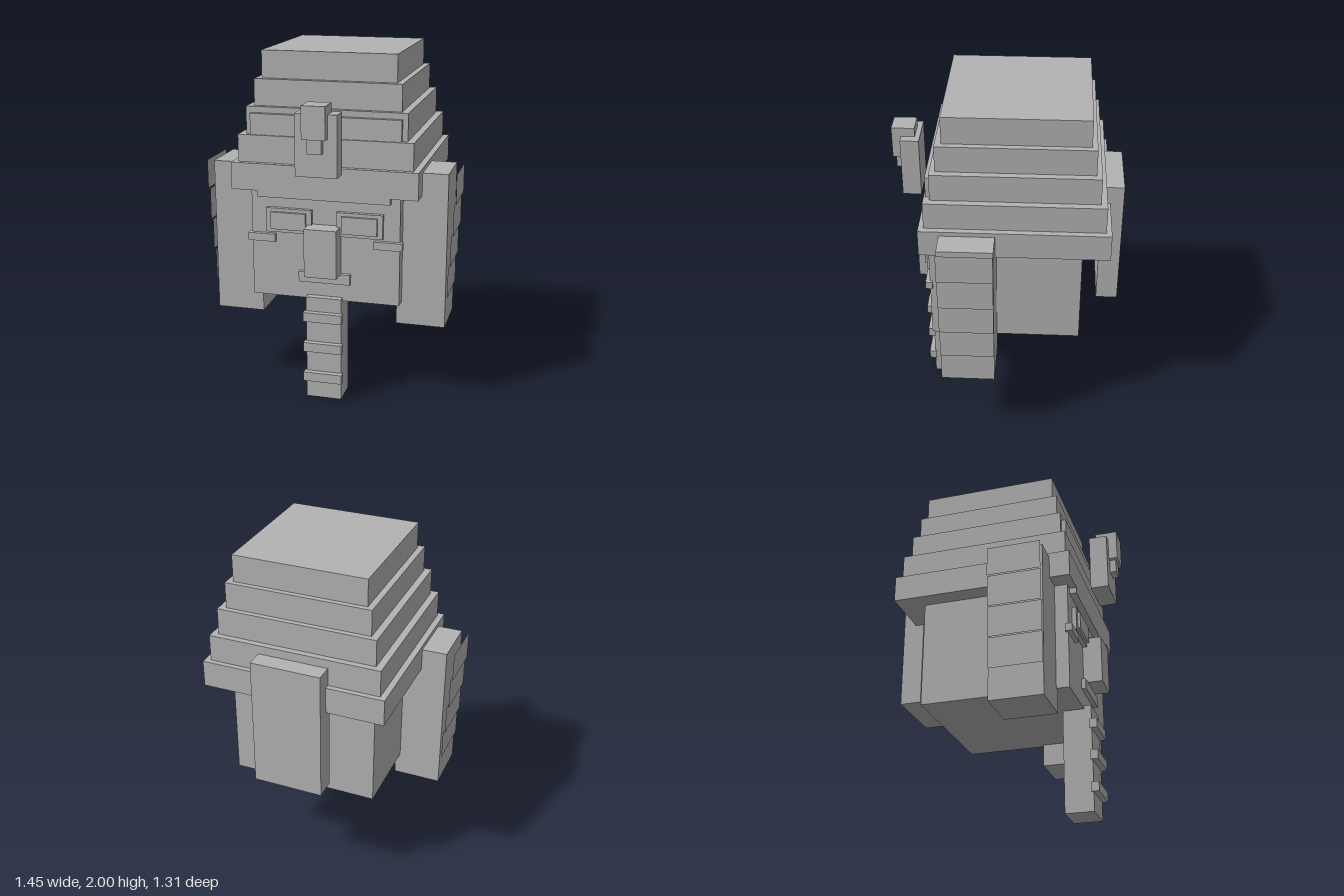
import * as THREE from 'three';

export function createModel() {
  const model = new THREE.Group();
  model.name = 'crownedMask';
  const stone = new THREE.MeshStandardMaterial({ color: 0xb2b2b2, side: THREE.DoubleSide });
  stone.name = 'grey stone';

  // Box from its limits on each axis
  function box(name, x0, x1, y0, y1, z0, z1) {
    const mesh = new THREE.Mesh(new THREE.BoxGeometry(x1 - x0, y1 - y0, z1 - z0), stone);
    mesh.position.set((x0 + x1) / 2, (y0 + y1) / 2, (z0 + z1) / 2);
    mesh.name = name;
    model.add(mesh);
  }
  const centred = (name, half, ...limits) => box(name, -half, half, ...limits);
  function pair(name, x0, x1, ...limits) {
    box(name + 'Left', x0, x1, ...limits);
    box(name + 'Right', -x1, -x0, ...limits);
  }

  // Head and stepped headdress
  centred('head', 0.43, 0.6, 1.66, -0.43, 0.43);
  const tiers = [
    [0.535, 1.23, 1.385, -0.58, 0.47],
    [0.5, 1.385, 1.54, -0.55, 0.44],
    [0.46, 1.54, 1.695, -0.515, 0.405],
    [0.42, 1.695, 1.845, -0.485, 0.375],
    [0.385, 1.845, 2.0, -0.455, 0.34],
  ];
  tiers.forEach((t, i) => centred('headdressTier' + (i + 1), ...t));
  centred('browBand', 0.38, 1.195, 1.23, 0.4, 0.47);

  // Face
  pair('eyeFrame', 0.072, 0.337, 0.99, 1.13, 0.4, 0.455);
  pair('eye', 0.103, 0.307, 1.01, 1.11, 0.42, 0.47);
  pair('eyeTail', 0.287, 0.447, 0.93, 0.975, 0.415, 0.455);
  centred('nose', 0.093, 0.765, 1.045, 0.4, 0.54);
  centred('mouth', 0.15, 0.705, 0.765, 0.4, 0.455);

  // Beard with three bands
  centred('beard', 0.103, 0, 0.62, 0.305, 0.47);
  [0.11, 0.295, 0.48].forEach((y) => centred('beardBand', 0.113, y, y + 0.055, 0.46, 0.503));

  // Forehead ornament
  centred('ornamentHood', 0.118, 1.36, 1.705, 0.497, 0.603);
  centred('ornamentHead', 0.066, 1.575, 1.757, 0.525, 0.655);
  centred('ornamentChin', 0.04, 1.495, 1.575, 0.6, 0.64);

  // Side lappets with thin stepped panels on their outer faces
  pair('lappet', 0.4, 0.68, 0.465, 1.36, 0.05, 0.355);
  const joints = [0.645, 0.825, 1.005, 1.19, 1.36];
  for (let i = 0; i < 4; i++) {
    for (const side of [1, -1]) {
      const panel = new THREE.Mesh(new THREE.PlaneGeometry(0.305, joints[i + 1] - joints[i]), stone);
      panel.rotation.y = side * Math.PI / 2;
      panel.position.set(side * (0.69 + i * 0.011), (joints[i] + joints[i + 1]) / 2, 0.2025);
      panel.name = side > 0 ? 'lappetPanelLeft' : 'lappetPanelRight';
      model.add(panel);
    }
  }

  // Back tail
  centred('backTail', 0.203, 0.72, 1.49, -0.655, -0.53);

  return model;
}
